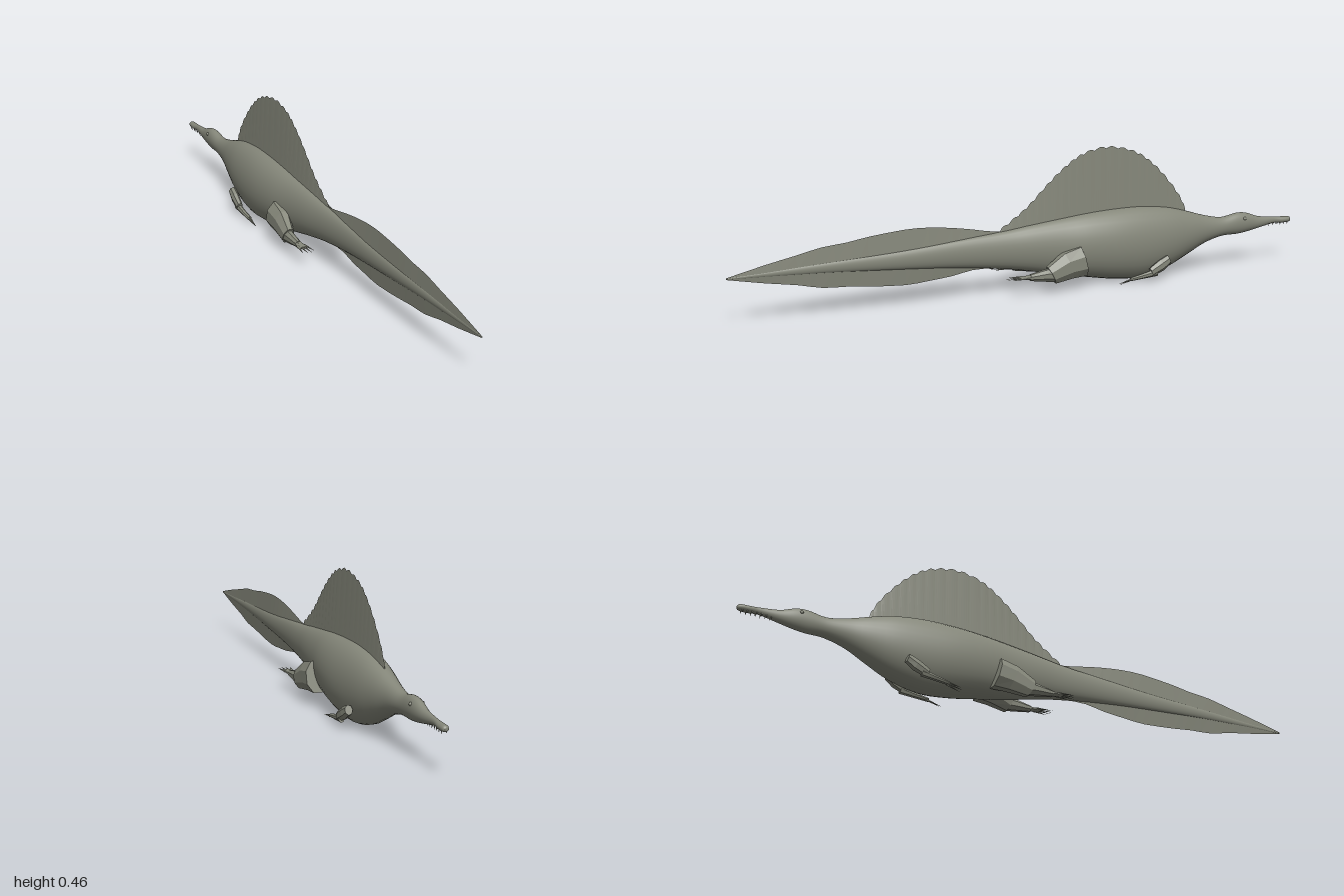
import * as THREE from 'three';

const skin = new THREE.MeshStandardMaterial({ color: 0x85877a });
skin.name = 'grey olive skin';

// Smooth interpolation through the rows of a station table
function spline(rows, steps) {
  const out = [], last = rows.length - 1;
  for (let i = 0; i < last; i++) {
    const [a, b, c, d] = [i - 1, i, i + 1, i + 2].map(k => rows[Math.min(last, Math.max(0, k))]);
    for (let s = 0; s < steps; s++) {
      const t = s / steps;
      out.push(b.map((_, k) => b[k] + 0.5 * t * (c[k] - a[k] +
        t * (2 * a[k] - 5 * b[k] + 4 * c[k] - d[k] + t * (3 * (b[k] - c[k]) + d[k] - a[k])))));
    }
  }
  out.push(rows[last]);
  return out;
}

// Closed skin over rings of [x, y, z] points, ordered along +z, counter-clockwise in xy
function loft(name, rings, flat = false) {
  const n = rings[0].length, pos = rings.flat(2), index = [];
  for (let i = 0; i < rings.length - 1; i++) {
    for (let j = 0; j < n; j++) {
      const a = i * n + j, b = i * n + (j + 1) % n;
      index.push(a, b, a + n, b, b + n, a + n);
    }
  }
  const end = (rings.length - 1) * n;
  for (let j = 1; j < n - 1; j++) index.push(0, j + 1, j, end, end + j, end + j + 1);
  let geo = new THREE.BufferGeometry();
  geo.setAttribute('position', new THREE.Float32BufferAttribute(pos, 3));
  geo.setIndex(index);
  if (flat) geo = geo.toNonIndexed();
  geo.computeVertexNormals();
  const mesh = new THREE.Mesh(geo, skin);
  mesh.name = name;
  return mesh;
}

// Elliptical ring, optionally sheared along z with height
function ring(z, x, y, rx, ry, sides, shear = 0) {
  return Array.from({ length: sides }, (_, j) => {
    const a = (j + 0.5) / sides * Math.PI * 2, dy = Math.sin(a) * ry;
    return [x + Math.cos(a) * rx, y + dy, z + dy * shear];
  });
}

// Tapered toe, finger or tooth between two points
function spike(name, from, to, r, flatten = 1) {
  const a = new THREE.Vector3(...from), b = new THREE.Vector3(...to);
  const geo = new THREE.ConeGeometry(r, a.distanceTo(b), 6);
  const mesh = new THREE.Mesh(geo, skin);
  mesh.position.copy(a).lerp(b, 0.5);
  mesh.quaternion.setFromUnitVectors(new THREE.Vector3(0, 1, 0), b.clone().sub(a).normalize());
  mesh.scale.z = flatten;
  mesh.name = name;
  return mesh;
}

export function createModel() {
  const model = new THREE.Group();
  model.name = 'sailBackedSwimmer';

  // Body from snout to tail tip: z, top, bottom, half width
  const body = [
    [-1, 0.153, 0.143, 0.005], [-0.992, 0.159, 0.139, 0.011], [-0.965, 0.16, 0.138, 0.012],
    [-0.93, 0.163, 0.14, 0.009], [-0.87, 0.17, 0.129, 0.015], [-0.82, 0.187, 0.12, 0.021],
    [-0.78, 0.19, 0.116, 0.023], [-0.72, 0.181, 0.115, 0.025], [-0.65, 0.195, 0.097, 0.034],
    [-0.58, 0.217, 0.064, 0.049], [-0.5, 0.238, 0.028, 0.064], [-0.4, 0.25, 0.005, 0.074],
    [-0.3, 0.251, 0.011, 0.077], [-0.2, 0.246, 0.028, 0.07], [-0.1, 0.236, 0.046, 0.055],
    [0, 0.224, 0.069, 0.042], [0.1, 0.211, 0.088, 0.03], [0.25, 0.199, 0.107, 0.02],
    [0.45, 0.184, 0.123, 0.014], [0.7, 0.172, 0.139, 0.008], [1, 0.155, 0.152, 0.001]
  ];
  model.add(loft('body', spline(body, 4).map(([z, t, b, w]) => ring(z, 0, (t + b) / 2, w, (t - b) / 2, 28))));

  // Tall thin tail fin: z, top, bottom, half width
  const fin = [
    [0.04, 0.213, 0.085, 0.003], [0.12, 0.213, 0.092, 0.007], [0.2, 0.228, 0.094, 0.008],
    [0.27, 0.24, 0.082, 0.008], [0.35, 0.249, 0.075, 0.008], [0.43, 0.25, 0.07, 0.007],
    [0.55, 0.239, 0.079, 0.006], [0.62, 0.228, 0.087, 0.006], [0.7, 0.221, 0.092, 0.005],
    [0.78, 0.204, 0.11, 0.004], [0.88, 0.184, 0.127, 0.003], [1, 0.156, 0.151, 0.0005]
  ];
  model.add(loft('tailFin', spline(fin, 2).map(([z, t, b, w]) =>
    [[w, (t + b) / 2, z], [0, t, z], [-w, (t + b) / 2, z], [0, b, z]]), true));

  // Back sail with a scalloped rim: z, height of rim
  const rim = [
    [-0.578, 0.225], [-0.55, 0.277], [-0.5, 0.34], [-0.45, 0.39], [-0.4, 0.426],
    [-0.34, 0.449], [-0.27, 0.458], [-0.2, 0.445], [-0.15, 0.42], [-0.1, 0.383],
    [-0.05, 0.338], [0, 0.29], [0.05, 0.252], [0.105, 0.216]
  ];
  const rows = spline(rim, 10);
  model.add(loft('backSail', rows.map(([z, y], i) => {
    const u = i / (rows.length - 1);
    const w = 0.003 + 0.009 * Math.sin(u * Math.PI);
    const top = y - 0.004 + 0.008 * Math.abs(Math.sin(u * Math.PI * 22));
    return [[w, 0.2, z], [0, top, z], [-w, 0.2, z]];
  }), true));

  for (const s of [1, -1]) {
    const side = s > 0 ? 'left' : 'right';

    // Hind leg: z, x, y, rx, ry, shear
    const limb = (name, table, sides) => model.add(loft(side + name,
      table.map(([z, x, y, rx, ry, k]) => ring(z, s * x, y, rx, ry, sides, k)), true));
    limb('Thigh', [[-0.165, 0.056, 0.1, 0.037, 0.053, 0.25], [-0.11, 0.061, 0.091, 0.031, 0.046, 0.4],
      [-0.045, 0.07, 0.067, 0.021, 0.03, 0.5]], 8);
    limb('Shin', [[-0.06, 0.07, 0.067, 0.019, 0.026, 0.3], [-0.02, 0.071, 0.068, 0.016, 0.02, 0],
      [0.03, 0.071, 0.067, 0.012, 0.011, 0]], 8);
    limb('Foot', [[0.015, 0.071, 0.067, 0.011, 0.01, 0], [0.045, 0.071, 0.068, 0.014, 0.006, 0],
      [0.068, 0.071, 0.069, 0.016, 0.003, 0]], 8);
    for (let i = 0; i < 4; i++) {
      const d = i - 1.5;
      model.add(spike(side + 'Toe', [s * (0.071 + d * 0.008), 0.069, 0.05],
        [s * (0.071 + d * 0.014), 0.069, 0.118 - Math.abs(d) * 0.008], 0.005, 0.7));
    }

    // Foreleg folded back along the belly
    limb('UpperArm', [[-0.478, 0.072, 0.074, 0.013, 0.015, 0.4], [-0.45, 0.074, 0.058, 0.014, 0.019, 0.4],
      [-0.41, 0.076, 0.038, 0.011, 0.015, 0.4]], 7);
    limb('Forearm', [[-0.43, 0.076, 0.036, 0.01, 0.013, 0.3], [-0.38, 0.075, 0.028, 0.009, 0.009, 0],
      [-0.335, 0.073, 0.021, 0.008, 0.006, 0]], 7);
    for (let i = -1; i <= 1; i++) {
      model.add(spike(side + 'Finger', [s * (0.073 + i * 0.004), 0.021 + i * 0.002, -0.342],
        [s * (0.073 + i * 0.006), 0.009 + i * 0.005, -0.288 - Math.abs(i) * 0.008], 0.004));
    }

    // Eye bump and teeth
    const eye = new THREE.Mesh(new THREE.SphereGeometry(0.006, 10, 8), skin);
    eye.name = side + 'Eye';
    eye.position.set(s * 0.018, 0.171, -0.805);
    model.add(eye);
    for (let i = 0; i < 7; i++) {
      const z = -0.985 + i * 0.015;
      model.add(spike(side + 'Tooth', [s * 0.007, 0.143, z], [s * 0.008, 0.132, z], 0.0025));
    }
  }
  return model;
}
